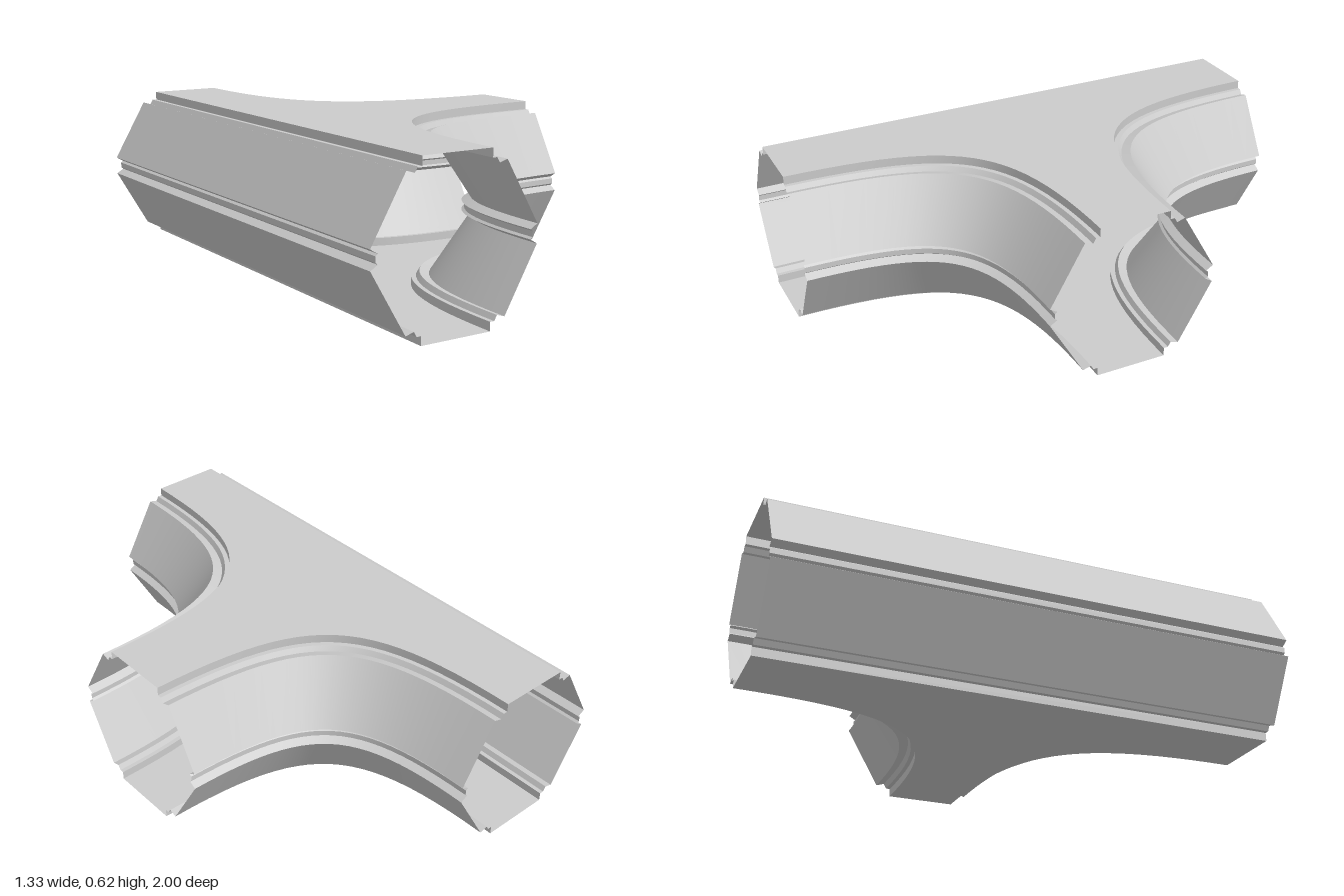
import * as THREE from 'three';

const H = 0.615;        // corridor height
const CX = -1 / 3;      // centre line of the main corridor
const EDGE = 0.14;      // half width of roof and floor
const STEPS = 24;

const material = new THREE.MeshStandardMaterial({ color: 0xcccccc, side: THREE.DoubleSide });

// Cross-section pieces as [distance from centre line, height], top to bottom
const gutter = [[EDGE, H], [EDGE, 0.582], [0.157, 0.582], [0.168, 0.563], [0.2, 0.573]];
const panel = [[0.2, 0.573], [1 / 3, 0.342]];
const groove = [[1 / 3, 0.342], [0.305, 0.325], [0.314, 0.318], [0.314, 0.297], [0.305, 0.29], [1 / 3, H - 0.342]];
const flip = (points) => points.map(([d, y]) => [d, H - y]).reverse();
const pieces = {
  roofGutter: gutter,
  upperPanel: panel,
  sideGroove: groove,
  lowerPanel: flip(panel),
  floorGutter: flip(gutter),
};

// Straight back wall running along z
const backPath = (d, t) => [CX - d, -1 + 2 * t];

// Curved corner from the main corridor into the branch; side is +1 (front) or -1 (back)
function cornerPath(side) {
  return (d, t) => {
    const u = side > 0 ? t : 1 - t;
    const bend = (v) => 0.6 * v * v * (1 - v) + v * v * v;
    const x0 = CX + d;
    return [x0 + (2 / 3 - x0) * bend(u), side * (d + (1 - d) * bend(1 - u))];
  };
}

// Sweeps a profile along a path: smooth along the path, sharp across it
function sweep(profile, path, steps) {
  const pos = [], index = [];
  for (let i = 0; i < profile.length - 1; i++) {
    const base = pos.length / 3;
    for (let j = 0; j <= steps; j++) {
      for (const [d, y] of [profile[i], profile[i + 1]]) {
        const [x, z] = path(d, j / steps);
        pos.push(x, y, z);
      }
      if (j < steps) {
        const a = base + 2 * j;
        index.push(a, a + 1, a + 2, a + 1, a + 3, a + 2);
      }
    }
  }
  const geo = new THREE.BufferGeometry();
  geo.setAttribute('position', new THREE.Float32BufferAttribute(pos, 3));
  geo.setIndex(index);
  geo.computeVertexNormals();
  return geo;
}

function addMesh(parent, name, geometry) {
  const mesh = new THREE.Mesh(geometry, material);
  mesh.name = name;
  parent.add(mesh);
  return mesh;
}

function makeWall(name, path, steps) {
  const wall = new THREE.Group();
  wall.name = name;
  for (const [part, profile] of Object.entries(pieces)) addMesh(wall, part, sweep(profile, path, steps));
  return wall;
}

export function createModel() {
  const group = new THREE.Group();
  group.name = 'corridorJunction';

  // Walls
  group.add(makeWall('straightWall', backPath, 1));
  group.add(makeWall('frontCornerWall', cornerPath(1), STEPS));
  group.add(makeWall('backCornerWall', cornerPath(-1), STEPS));

  // T-shaped roof and floor
  const outline = [backPath(EDGE, 0), backPath(EDGE, 1)];
  for (const side of [1, -1]) {
    for (let j = 0; j <= STEPS; j++) outline.push(cornerPath(side)(EDGE, j / STEPS));
  }
  const shape = new THREE.Shape(outline.map(([x, z]) => new THREE.Vector2(x, z)));
  const roof = addMesh(group, 'roof', new THREE.ShapeGeometry(shape));
  roof.rotation.x = -Math.PI / 2;
  roof.position.y = H;
  const floor = addMesh(group, 'floor', new THREE.ShapeGeometry(shape));
  floor.rotation.x = Math.PI / 2;

  return group;
}
